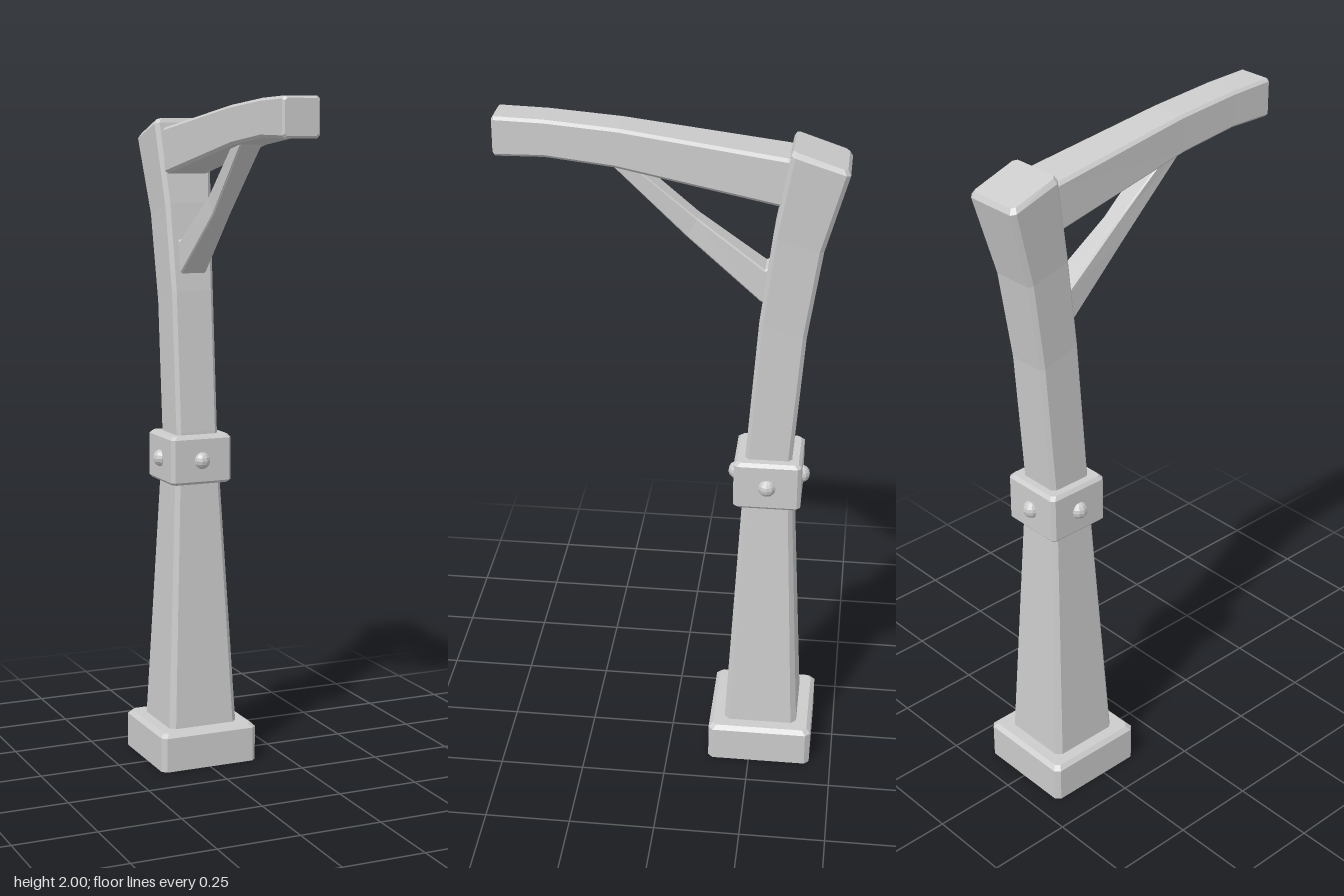
import * as THREE from 'three';

const material = new THREE.MeshStandardMaterial({ color: 0xcccccc, flatShading: true, side: THREE.DoubleSide });
const AXIS_Z = -0.28;

// Joins chamfered rectangular cross-sections. Each section is
// [z1, y1, z2, y2, halfWidth, chamfer]: its two edges in the side plane and its width in x.
function loft(name, sections, capStart = true, capEnd = true) {
  const positions = [];
  const rings = sections.map(([z1, y1, z2, y2, w, c]) => {
    const t = c / Math.hypot(z2 - z1, y2 - y1);
    const corners = [
      [w - c, 0], [w, t], [w, 1 - t], [w - c, 1],
      [c - w, 1], [-w, 1 - t], [-w, t], [c - w, 0],
    ];
    return corners.map(([x, s]) => [x, y1 + (y2 - y1) * s, z1 + (z2 - z1) * s]);
  });
  const tri = (a, b, c) => positions.push(...a, ...b, ...c);
  for (let i = 0; i < rings.length - 1; i++) {
    const p = rings[i], q = rings[i + 1];
    for (let j = 0; j < 8; j++) {
      const k = (j + 1) % 8;
      tri(p[j], p[k], q[k]);
      tri(p[j], q[k], q[j]);
    }
  }
  const first = rings[0], last = rings[rings.length - 1];
  for (let j = 1; j < 7; j++) {
    if (capStart) tri(first[0], first[j + 1], first[j]);
    if (capEnd) tri(last[0], last[j], last[j + 1]);
  }
  const geometry = new THREE.BufferGeometry();
  geometry.setAttribute('position', new THREE.Float32BufferAttribute(positions, 3));
  geometry.computeVertexNormals();
  const mesh = new THREE.Mesh(geometry, material);
  mesh.name = name;
  return mesh;
}

// Level square section centred on the post axis
const square = (y, half, chamfer) => [AXIS_Z + half, y, AXIS_Z - half, y, half, chamfer];

export function createModel() {
  const group = new THREE.Group();
  group.name = 'lampPost';

  // Hollow plinth with a bevelled top rim
  group.add(loft('base', [
    square(0, 0.155, 0.014),
    square(0.105, 0.155, 0.014),
    square(0.117, 0.143, 0.012),
    square(0.117, 0.1, 0.012),
  ], false, false));

  // Tapered lower post, open underneath
  group.add(loft('lowerPost', [
    square(0.112, 0.11, 0.016),
    square(0.88, 0.072, 0.012),
  ], false, false));

  // Upper post, bending backwards and widening to its bevelled top
  group.add(loft('upperPost', [
    [-0.212, 0.95, -0.346, 0.95, 0.066, 0.011],
    [-0.214, 1.02, -0.348, 1.015, 0.066, 0.011],
    [-0.244, 1.44, -0.376, 1.4, 0.066, 0.011],
    [-0.276, 1.7, -0.414, 1.66, 0.073, 0.012],
    [-0.318, 1.935, -0.476, 1.885, 0.089, 0.012],
    [-0.325, 1.948, -0.468, 1.9, 0.08, 0.01],
  ]));

  // Collar around the joint
  group.add(loft('collar', [
    square(0.865, 0.066, 0.01),
    square(0.865, 0.09, 0.01),
    square(0.873, 0.097, 0.01),
    square(1.002, 0.097, 0.01),
    square(1.012, 0.088, 0.01),
    square(1.012, 0.06, 0.01),
  ], false, false));

  // One rivet on each side of the collar
  const rivetGeometry = new THREE.SphereGeometry(0.026, 10, 8);
  for (let i = 0; i < 4; i++) {
    const a = i * Math.PI / 2;
    const rivet = new THREE.Mesh(rivetGeometry, material);
    rivet.name = 'rivet';
    rivet.position.set(Math.sin(a) * 0.093, 0.937, AXIS_Z + Math.cos(a) * 0.093);
    group.add(rivet);
  }

  // Curved arm reaching forwards
  group.add(loft('arm', [
    [-0.34, 1.775, -0.36, 1.91, 0.071, 0.009],
    [-0.29, 1.786, -0.31, 1.921, 0.07, 0.009],
    [0.155, 1.872, 0.14, 1.98, 0.057, 0.008],
    [0.34, 1.892, 0.34, 1.996, 0.055, 0.008],
    [0.474, 1.89, 0.474, 2, 0.055, 0.008],
    [0.48, 1.896, 0.48, 1.994, 0.049, 0.007],
  ]));

  // Bent brace between post and arm
  group.add(loft('brace', [
    [-0.275, 1.505, -0.285, 1.605, 0.042, 0.005],
    [-0.247, 1.493, -0.255, 1.59, 0.041, 0.005],
    [-0.04, 1.672, -0.068, 1.727, 0.028, 0.004],
    [0.16, 1.868, 0.095, 1.862, 0.033, 0.004],
    [0.19, 1.9, 0.125, 1.9, 0.033, 0.004],
  ]));

  return group;
}
